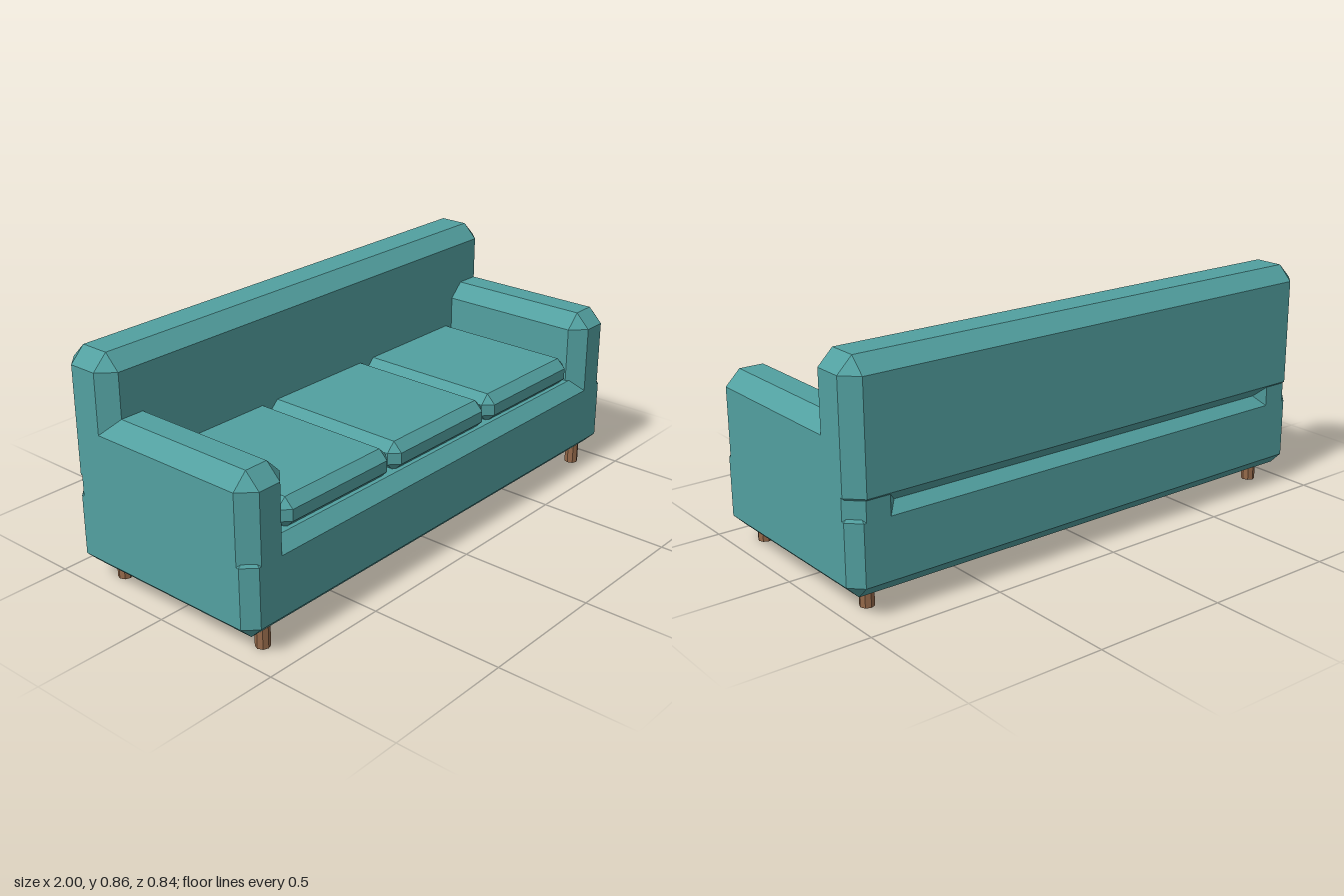
import * as THREE from 'three';
import { ConvexGeometry } from 'three/addons/geometries/ConvexGeometry.js';

// Box between two corners with every edge cut at 45 degrees
function chamferBox(min, max, c) {
  const mid = min.map((v, i) => (v + max[i]) / 2);
  const half = min.map((v, i) => (max[i] - v) / 2);
  const points = [];
  for (const sx of [-1, 1]) for (const sy of [-1, 1]) for (const sz of [-1, 1]) {
    const s = [sx, sy, sz];
    // each corner becomes three points, one on each face
    for (let face = 0; face < 3; face++) {
      points.push(new THREE.Vector3(...s.map((sign, i) =>
        mid[i] + sign * (half[i] - (i === face ? 0 : c)))));
    }
  }
  return new ConvexGeometry(points);
}

export function createModel() {
  const model = new THREE.Group();
  model.name = 'sofa';
  const fabric = new THREE.MeshStandardMaterial({ color: 0x52a0a0 });
  fabric.name = 'teal fabric';
  const wood = new THREE.MeshStandardMaterial({ color: 0x94694a, flatShading: true });
  wood.name = 'brown wood';

  const add = (name, geometry, material) => {
    const mesh = new THREE.Mesh(geometry, material);
    mesh.name = name;
    model.add(mesh);
    return mesh;
  };

  // Body and backrest
  add('base', chamferBox([-1, 0.07, -0.41], [1, 0.38, 0.42], 0.045), fabric);
  add('backrest', chamferBox([-1, 0.36, -0.417], [1, 0.863, -0.197], 0.055), fabric);

  // Arms, sunk into the base
  add('leftArm', chamferBox([0.8, 0.2, -0.41], [1, 0.645, 0.42], 0.055), fabric);
  add('rightArm', chamferBox([-1, 0.2, -0.41], [-0.8, 0.645, 0.42], 0.055), fabric);

  // Three seat cushions
  for (let i = -1; i <= 1; i++) {
    const x = i * 0.534;
    add('seatCushion', chamferBox([x - 0.263, 0.37, -0.25], [x + 0.263, 0.48, 0.382], 0.034), fabric);
  }

  // Four short legs
  const legShape = new THREE.CylinderGeometry(0.026, 0.026, 0.08, 8);
  for (const x of [-0.89, 0.89]) {
    for (const z of [-0.306, 0.359]) add('leg', legShape, wood).position.set(x, 0.04, z);
  }
  return model;
}
